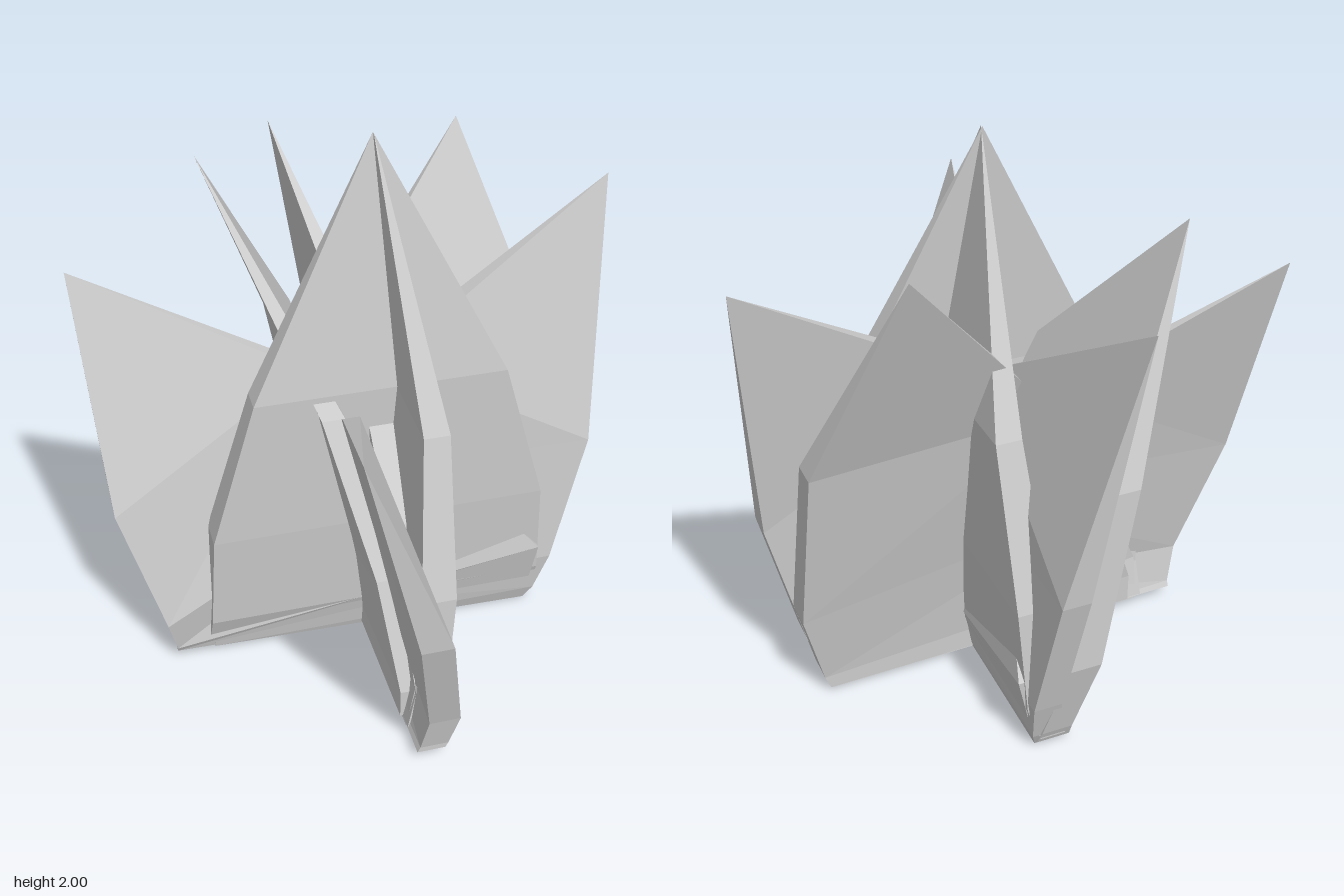
import * as THREE from 'three';

// Each blade: a pointed tip, then left and right edge stations from shoulder
// to base. A station is [x, y, zFront, zBack].
const BLADES = {
  centreBlade: {
    tip: [0.05, 2.0, -0.06],
    left: [[-0.39, 1.13, 0.08, -0.01], [-0.55, 0.57, 0.07, -0.05], [-0.57, 0.18, 0.04, -0.07], [-0.58, 0.04, -0.01, -0.1]],
    right: [[0.49, 1.13, 0.08, -0.01], [0.65, 0.57, 0.07, -0.05], [0.67, 0.18, 0.04, -0.07], [0.67, 0.04, -0.01, -0.1]],
  },
  leftBlade: {
    tip: [-0.925, 1.48, -0.35],
    left: [[-0.87, 0.67, -0.04, -0.15], [-0.73, 0.2, 0.04, -0.07], [-0.7, 0.06, 0.01, -0.09], [-0.7, 0.04, 0, -0.1]],
    right: [[-0.16, 1.09, -0.16, -0.22], [0.28, 0.74, -0.04, -0.14], [0.66, 0.3, 0.07, -0.03], [0.64, 0.01, 0, -0.1]],
  },
  rightBlade: {
    tip: [0.925, 1.67, -0.22],
    left: [[0.09, 1.16, -0.02, -0.11], [-0.31, 0.73, 0, -0.1], [-0.56, 0.2, 0.03, -0.07], [-0.56, 0.03, 0, -0.1]],
    right: [[0.845, 0.72, 0.01, -0.09], [0.72, 0.22, 0.04, -0.06], [0.67, 0.06, 0.02, -0.09], [0.64, 0, 0, -0.1]],
  },
  leaningBlade: {
    tip: [0.485, 1.78, -0.56],
    left: [[-0.12, 1.06, -0.2, -0.28], [-0.38, 0.55, -0.08, -0.16], [-0.52, 0.15, -0.02, -0.11], [-0.52, 0.04, -0.01, -0.11]],
    right: [[0.74, 1.02, -0.2, -0.3], [0.76, 0.38, -0.07, -0.18], [0.68, 0.07, -0.01, -0.12], [0.66, 0.02, 0, -0.12]],
  },
};

const front = ([x, y, z]) => [x, y, z];
const back = ([x, y, , z]) => [x, y, z];

function bladeGeometry({ tip, left, right }) {
  const pos = [];
  const tri = (a, b, c) => pos.push(...a, ...b, ...c);
  const quad = (a, b, c, d) => { tri(a, b, c); tri(a, c, d); };

  // Four-sided point
  const l0 = left[0], r0 = right[0];
  tri(front(l0), front(r0), tip);
  tri(back(r0), back(l0), tip);
  tri(back(l0), front(l0), tip);
  tri(front(r0), back(r0), tip);

  // Body between stations
  for (let i = 0; i < left.length - 1; i++) {
    const [l, r, ll, rr] = [left[i], right[i], left[i + 1], right[i + 1]];
    quad(front(ll), front(rr), front(r), front(l));
    quad(back(rr), back(ll), back(l), back(r));
    quad(back(ll), front(ll), front(l), back(l));
    quad(front(rr), back(rr), back(r), front(r));
  }

  // Base
  const lb = left[left.length - 1], rb = right[right.length - 1];
  quad(back(lb), back(rb), front(rb), front(lb));

  const g = new THREE.BufferGeometry();
  g.setAttribute('position', new THREE.Float32BufferAttribute(pos, 3));
  g.computeVertexNormals();
  return g;
}

export function createModel() {
  const model = new THREE.Group();
  model.name = 'bladeCluster';
  const material = new THREE.MeshStandardMaterial({ color: 0xcccccc, flatShading: true });

  // Two identical fans of blades crossing at a right angle
  for (const [name, turn, shift] of [['frontFan', 0, 0], ['crossFan', Math.PI / 2, 0.11]]) {
    const fan = new THREE.Group();
    fan.name = name;
    for (const [part, shape] of Object.entries(BLADES)) {
      const mesh = new THREE.Mesh(bladeGeometry(shape), material);
      mesh.name = part;
      fan.add(mesh);
    }
    fan.rotation.y = turn;
    fan.position.x = shift;
    model.add(fan);
  }
  return model;
}
